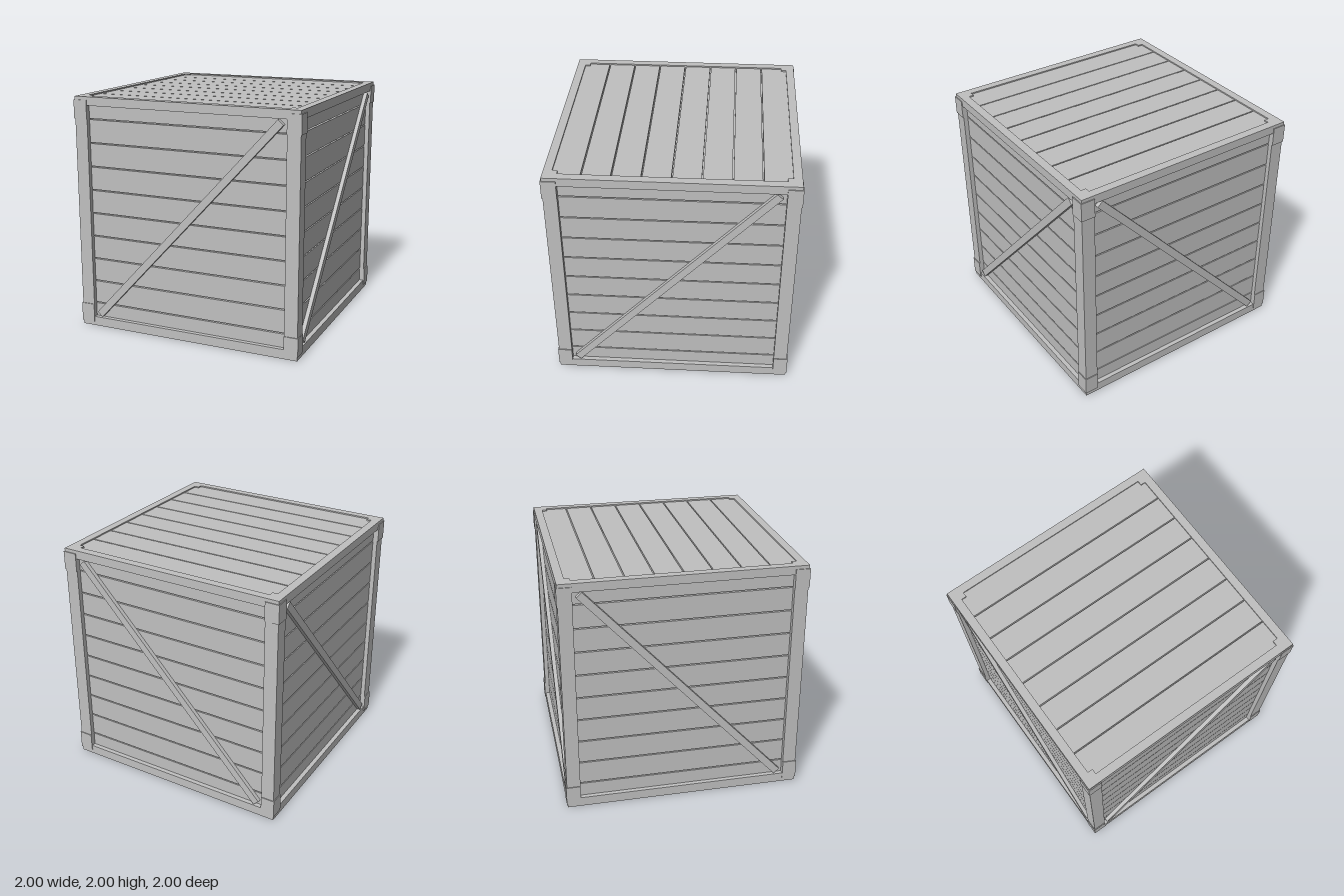
import * as THREE from 'three';

export function createModel() {
  const crate = new THREE.Group();
  crate.name = 'crate';
  const grey = new THREE.MeshStandardMaterial({ color: 0xc0c0c0 });
  grey.name = 'plain grey';

  const OUT = 0.993;  // outer face of the frame
  const POST = 0.113; // post width
  const RAIL = 0.07;  // rail height and depth
  const PANEL = 0.955; // outer face of the side planks
  const GAP = 0.01;

  function box(parent, name, size, pos) {
    const mesh = new THREE.Mesh(new THREE.BoxGeometry(...size), grey);
    mesh.name = name;
    mesh.position.set(...pos);
    parent.add(mesh);
    return mesh;
  }

  // Inner box closing the gaps between planks
  box(crate, 'innerBox', [1.86, 1.92, 1.86], [0, 0.995, 0]);

  // Corner posts with thin metal brackets near both ends
  for (const sx of [-1, 1]) for (const sz of [-1, 1]) {
    const c = OUT - POST / 2;
    box(crate, 'cornerPost', [POST, 2, POST], [sx * c, 1, sz * c]);
    for (const y of [0.115, 1.893]) {
      const bracket = new THREE.Group();
      bracket.name = 'cornerBracket';
      box(bracket, 'bracketPlate', [0.12, 0.158, 0.007], [sx * 0.94, y, sz * 0.9965]);
      box(bracket, 'bracketPlate', [0.007, 0.158, 0.113], [sx * 0.9965, y, sz * 0.9365]);
      crate.add(bracket);
    }
  }

  // Four sides, built facing +z or +x
  for (const s of [-1, 1]) for (const alongX of [true, false]) {
    const side = new THREE.Group();
    side.name = 'side';
    // Maps width, height and depth of a side onto the axes
    const part = (name, w, h, d, y, depth) => alongX
      ? box(side, name, [w, h, d], [0, y, s * depth])
      : box(side, name, [d, h, w], [s * depth, y, 0]);

    const span = 2 * (OUT - POST);
    part('bottomRail', span, 0.08, RAIL, 0.04, OUT - RAIL / 2);
    part('topRail', span, 0.073, RAIL, 1.9635, OUT - RAIL / 2);

    // Ten horizontal planks
    for (let i = 0; i < 10; i++) {
      const low = Math.max(0.05, 0.2 + (i - 1) * 0.2014 + GAP / 2);
      const high = Math.min(1.95, 0.2 + i * 0.2014 - GAP / 2);
      part('sidePlank', 1.8, high - low, 0.035, (low + high) / 2, PANEL - 0.0175);
    }

    // Diagonal brace
    const brace = part('diagonalBrace', 2.44, 0.062, 0.035, 1.003, PANEL + 0.0165);
    const angle = Math.atan2(1.8, 1.66);
    if (alongX) brace.rotation.z = angle;
    else brace.rotation.x = angle;
    crate.add(side);
  }

  // Eight lid planks, slightly below the rim
  const pitch = 0.2325;
  for (let i = 0; i < 8; i++) {
    box(crate, 'lidPlank', [1.86, 0.04, pitch - GAP], [0, 1.969, (i - 3.5) * pitch]);
  }
  return crate;
}
